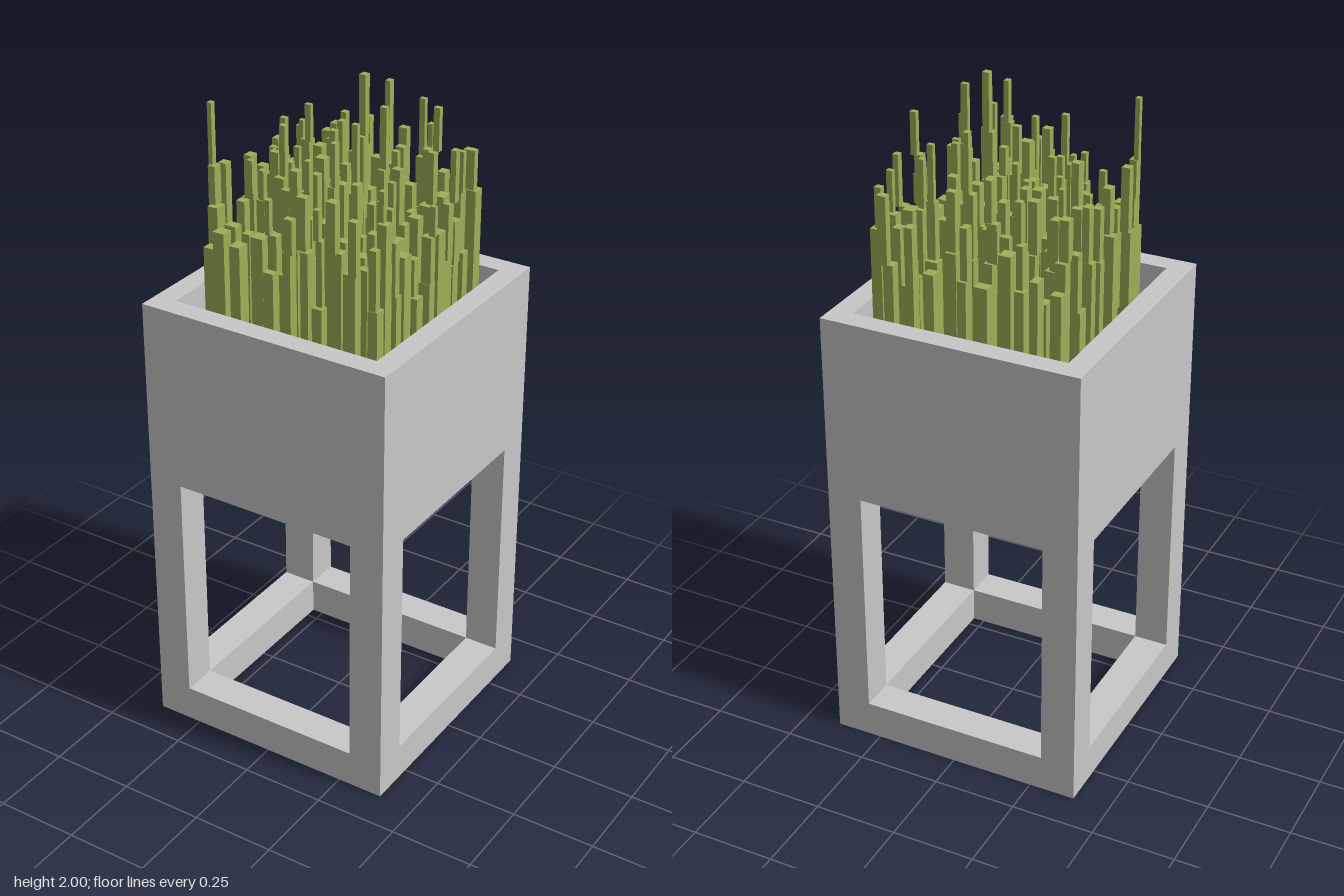
import * as THREE from 'three';
import { mergeGeometries } from 'three/addons/utils/BufferGeometryUtils.js';

const HALF = 0.39;      // half width of the stand
const LEG = 0.105;      // leg and base rail thickness
const WALL = 0.065;     // planter wall thickness
const BASE_TOP = 0.11, BOX_BOTTOM = 0.82, BOX_TOP = 1.37, SOIL_TOP = 1.27;

// Square ring standing on y = bottom
function squareRing(half, wall, bottom, top) {
  const square = (Type, h) => new Type([
    new THREE.Vector2(-h, -h), new THREE.Vector2(h, -h),
    new THREE.Vector2(h, h), new THREE.Vector2(-h, h),
  ]);
  const shape = square(THREE.Shape, half);
  shape.holes.push(square(THREE.Path, half - wall));
  const geo = new THREE.ExtrudeGeometry(shape, { depth: top - bottom, bevelEnabled: false });
  return geo.rotateX(-Math.PI / 2).translate(0, bottom, 0);
}

function block(w, d, x, z, bottom, top) {
  return new THREE.BoxGeometry(w, top - bottom, d).translate(x, (bottom + top) / 2, z);
}

// Small seeded random generator
function seeded(seed) {
  return () => {
    seed = (seed * 1664525 + 1013904223) % 4294967296;
    return seed / 4294967296;
  };
}

// Grass: stalks of stacked, ever thinner blocks on a jittered grid
function grassGeometry() {
  const rand = seeded(77);
  const between = (a, b) => a + (b - a) * rand();
  const parts = [];
  const stalk = (x, z, tops) => {
    let bottom = SOIL_TOP - 0.01;
    tops.forEach((top, i) => {
      const size = [0.031, 0.024, 0.017][i];
      parts.push(block(size * between(0.75, 1.25), size * between(0.8, 1.25), x, z, bottom, top));
      bottom = top;
      x += between(-0.014, 0.014);
      z += between(-0.014, 0.014);
    });
  };
  const n = 11, step = 0.053;
  for (let i = 0; i < n; i++) {
    for (let j = 0; j < n; j++) {
      const x = (i - (n - 1) / 2) * step + between(-0.017, 0.017);
      const z = (j - (n - 1) / 2) * step - 0.012 + between(-0.017, 0.017);
      const first = between(1.42, 1.64);
      const second = first + between(0.1, 0.2);
      const third = Math.min(second + between(0.08, 0.18), 1.96);
      const pick = rand();
      const count = pick < 0.22 ? 1 : pick < 0.68 ? 2 : 3;
      stalk(x, z, [first, second, third].slice(0, count));
    }
  }
  stalk(0.065, -0.005, [1.62, 1.83, 2.0]); // tallest stalk
  return mergeGeometries(parts);
}

export function createModel() {
  const material = (name, color) => {
    const m = new THREE.MeshStandardMaterial({ color });
    m.name = name;
    return m;
  };
  const concrete = material('concrete', 0xc8c8c8);
  const soilBrown = material('soilBrown', 0x5c483d);
  const grassGreen = material('grassGreen', 0x9cb058);

  const model = new THREE.Group();
  model.name = 'planter';
  const add = (name, geometry, mat) => {
    const mesh = new THREE.Mesh(geometry, mat);
    mesh.name = name;
    model.add(mesh);
  };

  // Open stand
  add('baseFrame', squareRing(HALF, LEG, 0, BASE_TOP), concrete);
  const c = HALF - LEG / 2;
  for (const sx of [-1, 1]) {
    for (const sz of [-1, 1]) {
      add(`${sz > 0 ? 'front' : 'back'}${sx > 0 ? 'Left' : 'Right'}Leg`,
        block(LEG, LEG, sx * c, sz * c, BASE_TOP, BOX_BOTTOM), concrete);
    }
  }

  // Planter box
  const inner = (HALF - WALL) * 2;
  add('planterWalls', squareRing(HALF, WALL, BOX_BOTTOM, BOX_TOP), concrete);
  add('planterFloor', block(inner, inner, 0, 0, BOX_BOTTOM, BOX_BOTTOM + 0.06), concrete);

  // Planting
  add('soil', block(inner, inner, 0, 0, BOX_BOTTOM + 0.06, SOIL_TOP), soilBrown);
  add('grass', grassGeometry(), grassGreen);
  return model;
}
